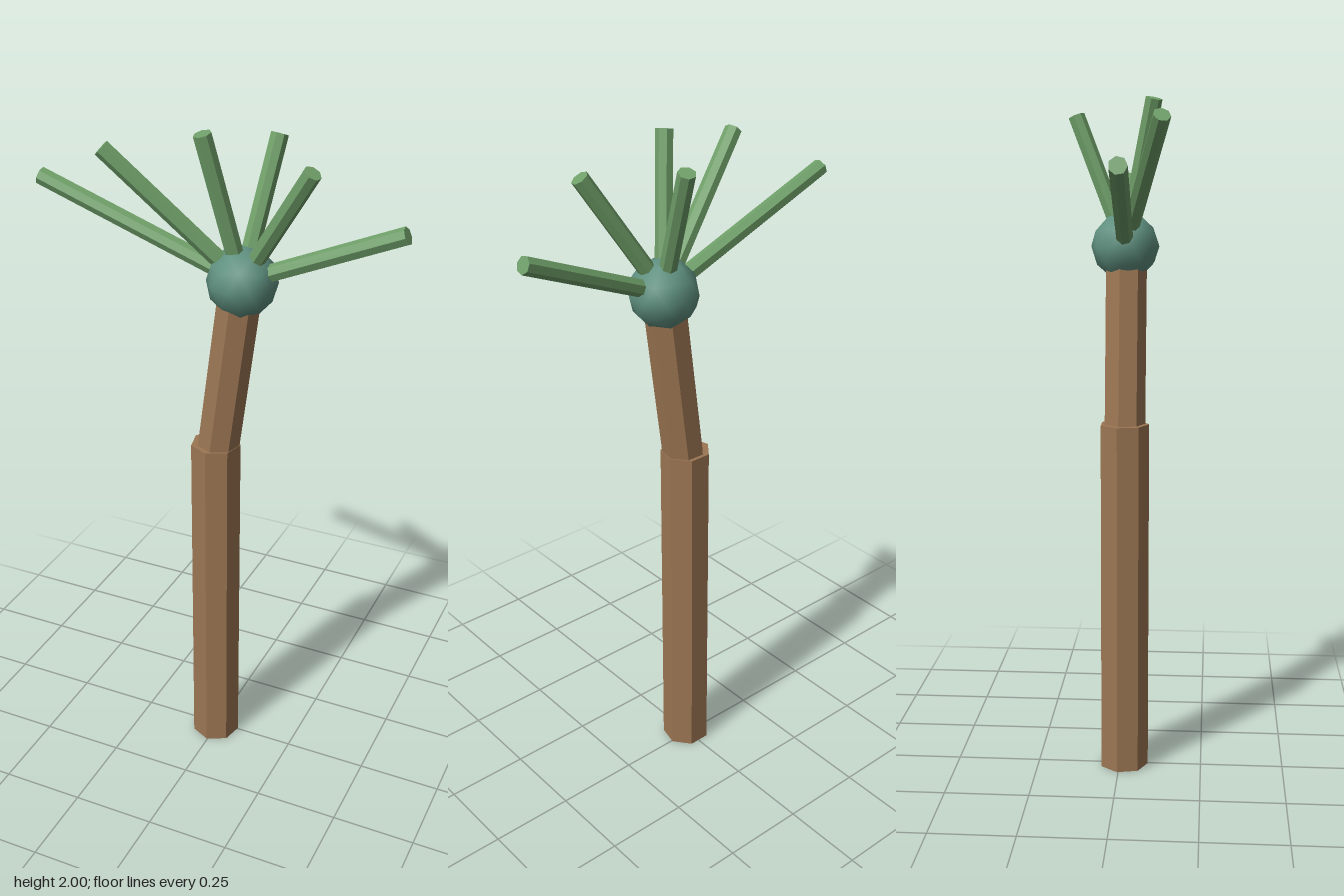
import * as THREE from 'three';

const bark = new THREE.MeshStandardMaterial({ color: 0x9c7653, flatShading: true });
const leaf = new THREE.MeshStandardMaterial({ color: 0x6f9f69, flatShading: true });
const crown = new THREE.MeshStandardMaterial({ color: 0x5f9080 });

// Seven-sided rod running from one point to another
function rod(name, from, to, radius, material) {
  const a = new THREE.Vector3(...from);
  const dir = new THREE.Vector3(...to).sub(a);
  const mesh = new THREE.Mesh(new THREE.CylinderGeometry(radius, radius, dir.length(), 7), material);
  mesh.position.copy(a).addScaledVector(dir, 0.5);
  mesh.quaternion.setFromUnitVectors(new THREE.Vector3(0, 1, 0), dir.normalize());
  mesh.name = name;
  return mesh;
}

export function createModel() {
  const group = new THREE.Group();
  group.name = 'palmTree';

  // Trunk: straight lower part and a thinner leaning upper part
  group.add(rod('lowerTrunk', [-0.003, 0, 0.013], [-0.003, 1.065, 0.013], 0.074, bark));
  group.add(rod('upperTrunk', [0.004, 1.05, 0.013], [0.066, 1.52, 0.013], 0.062, bark));

  // Crown ball, turned so that one corner points up
  const centre = [0.076, 1.58, 0.011];
  const ball = new THREE.Mesh(new THREE.IcosahedronGeometry(0.1, 1), crown);
  ball.position.set(...centre);
  ball.rotation.z = Math.atan(2 / (1 + Math.sqrt(5)));
  ball.name = 'crown';
  group.add(ball);

  // Fronds fanning out from the crown
  const tips = [
    [-0.532, 1.803, 0.032],
    [-0.278, 1.937, 0.13],
    [-0.002, 1.996, 0.096],
    [0.117, 1.953, -0.135],
    [0.294, 1.926, 0.077],
    [0.528, 1.773, 0.001],
  ];
  const fronds = new THREE.Group();
  fronds.name = 'fronds';
  for (const tip of tips) fronds.add(rod('frond', centre, tip, 0.025, leaf));
  group.add(fronds);

  return group;
}
